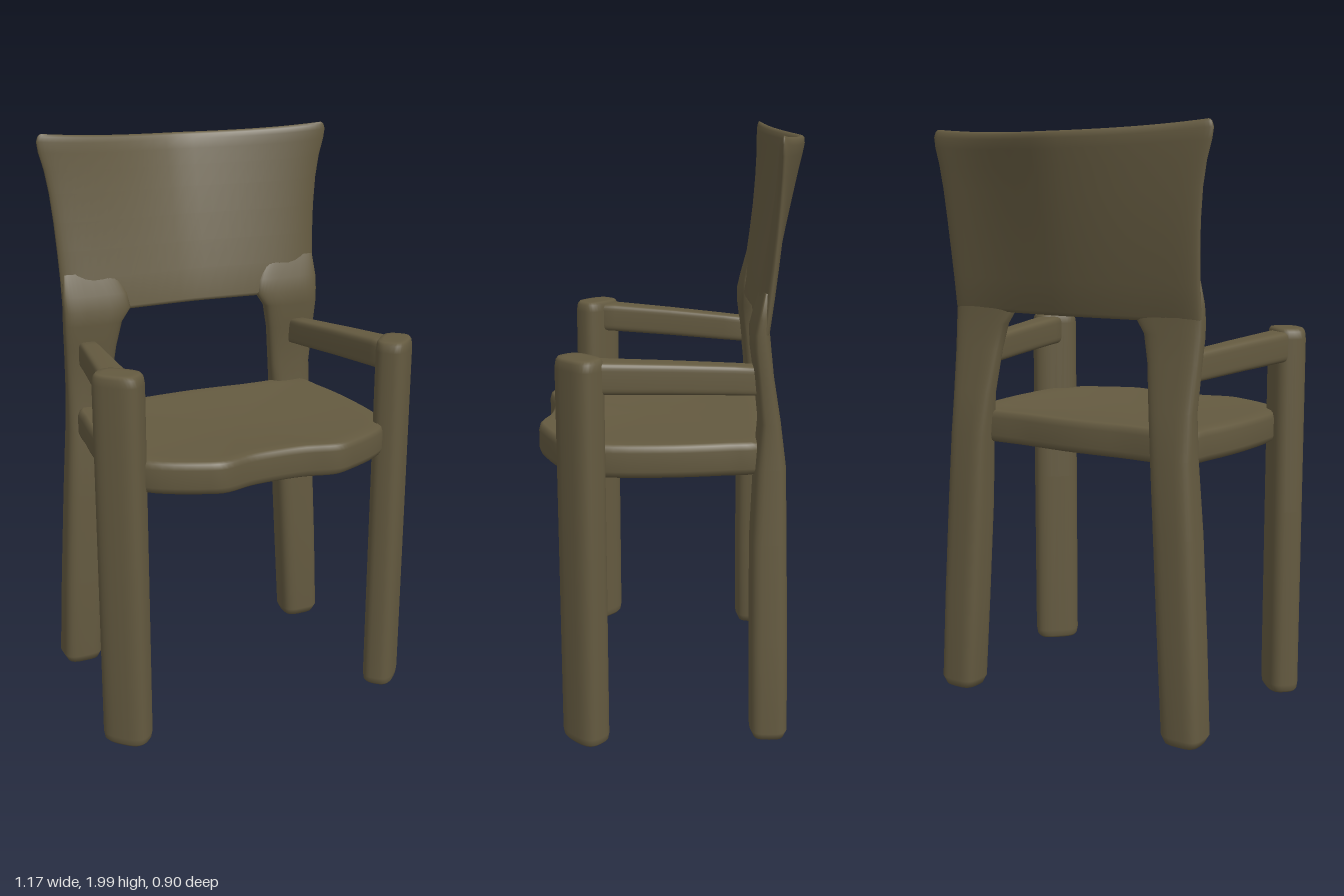
import * as THREE from 'three';

const olive = new THREE.MeshStandardMaterial({ color: 0x645a40 });
olive.name = 'olive';

// Smooth skin over closed rings of equal length; ends closed by fans unless capped is false
function loft(rings, capped = true) {
  const n = rings[0].length;
  const pos = [], idx = [];
  rings.forEach(r => r.forEach(p => pos.push(p.x, p.y, p.z)));
  for (let i = 0; i < rings.length - 1; i++) {
    for (let j = 0; j < n; j++) {
      const a = i * n + j, b = i * n + (j + 1) % n;
      idx.push(a, a + n, b, b, a + n, b + n);
    }
  }
  if (capped) {
    [0, rings.length - 1].forEach(k => {
      const c = rings[k].reduce((s, p) => s.add(p), new THREE.Vector3()).divideScalar(n);
      const ci = pos.length / 3;
      pos.push(c.x, c.y, c.z);
      for (let j = 0; j < n; j++) {
        const a = k * n + j, b = k * n + (j + 1) % n;
        if (k === 0) idx.push(ci, a, b); else idx.push(ci, b, a);
      }
    });
  }
  // Signed volume tells whether the faces point outward
  let vol = 0;
  const v = i => new THREE.Vector3().fromArray(pos, i * 3);
  for (let i = 0; i < idx.length; i += 3) vol += v(idx[i]).dot(v(idx[i + 1]).cross(v(idx[i + 2])));
  if (vol < 0) idx.reverse();
  const g = new THREE.BufferGeometry();
  g.setAttribute('position', new THREE.Float32BufferAttribute(pos, 3));
  g.setIndex(idx);
  g.computeVertexNormals();
  return g;
}

// Rounded-rectangle ring; place(a, b) maps its two axes into space
function ring(a, b, place, e = 0.5, n = 32) {
  return Array.from({ length: n }, (_, i) => {
    const t = (i / n) * Math.PI * 2, c = Math.cos(t), s = Math.sin(t);
    return place(a * Math.sign(c) * Math.abs(c) ** e, b * Math.sign(s) * Math.abs(s) ** e);
  });
}

const V = (x, y, z) => new THREE.Vector3(x, y, z);

// Front post: stadium section turned 45 degrees, softened ends
function frontLeg(s) {
  const q = Math.SQRT1_2;
  const rows = [[0.01, 0.6], [0.01, 0.85], [0.018, 0.95], [0.04, 1], [0.68, 1], [1.29, 1], [1.315, 0.95], [1.325, 0.85], [1.326, 0.6]];
  return loft(rows.map(([y, k]) => ring(0.083 * k, 0.057 * k,
    (a, b) => V(s * (0.505 + (a + b) * q), y, 0.288 + (b - a) * q), 0.68)));
}

// Rear post: sways back and flattens into the backrest
function backLeg(s) {
  const rows = [
    [0.01, 0.43, 0.51, -0.36, -0.295], [0.012, 0.41, 0.53, -0.38, -0.275], [0.04, 0.397, 0.545, -0.39, -0.263],
    [0.35, 0.377, 0.53, -0.385, -0.258], [0.7, 0.355, 0.51, -0.377, -0.256], [0.95, 0.34, 0.493, -0.37, -0.266],
    [1.1, 0.325, 0.49, -0.35, -0.278], [1.25, 0.305, 0.496, -0.325, -0.262], [1.34, 0.285, 0.5, -0.315, -0.25],
    [1.39, 0.25, 0.5, -0.31, -0.25], [1.44, 0.26, 0.5, -0.306, -0.262], [1.52, 0.3, 0.49, -0.3, -0.285]];
  return loft(rows.map(([y, x0, x1, z0, z1]) => ring((x1 - x0) / 2, (z1 - z0) / 2,
    (a, b) => V(s * ((x0 + x1) / 2 + a), y, (z0 + z1) / 2 + b), 0.6)));
}

// Arm: tapers and slopes down toward the rear post
function arm(s) {
  const rows = [[0.3, 0.505, 1.265, 0.05, 0.053], [0.22, 0.498, 1.262, 0.05, 0.053],
    [0, 0.462, 1.25, 0.042, 0.051], [-0.2, 0.428, 1.237, 0.036, 0.049], [-0.3, 0.413, 1.23, 0.034, 0.047]];
  return loft(rows.map(([z, x, y, w, h]) => ring(w, h, (a, b) => V(s * (x + a), y + b, z), 0.4)));
}

// Seat: wavy-fronted slab with rounded rim and a shallow dish
function seat() {
  const half = [[0.1, 0.425], [0.21, 0.45], [0.28, 0.43], [0.43, 0.35], [0.485, 0.27], [0.5, 0.05],
    [0.476, -0.18], [0.45, -0.29], [0.2, -0.31]];
  const pts = [[0, 0.42], ...half, [0, -0.32], ...half.slice().reverse().map(([x, z]) => [-x, z])];
  const outline = new THREE.CatmullRomCurve3(pts.map(([x, z]) => V(x, 0, z)), true).getPoints(96).slice(0, -1);
  const rows = [[0.3, 0.922], [0.7, 0.922], [0.96, 0.923], [0.985, 0.93], [1, 0.948],
    [1, 1.01], [0.988, 1.028], [0.965, 1.035], [0.85, 1.032], [0.6, 1.024], [0.3, 1.018]];
  return loft(rows.map(([k, y]) => outline.map(p => V(p.x * k, y, 0.05 + (p.z - 0.05) * k))));
}

// Backrest: thin curved panel, flared at the top corners, hollowed toward the rear
function backrest() {
  const rows = [[1.38, 0.49, 0], [1.383, 0.493, 0.015], [1.395, 0.497, 0.024], [1.5, 0.498, 0.024], [1.6, 0.502, 0.023],
    [1.7, 0.508, 0.022], [1.8, 0.518, 0.021], [1.88, 0.532, 0.02], [1.94, 0.549, 0.02], [1.975, 0.554, 0.019],
    [1.992, 0.548, 0.014], [1.999, 0.54, 0.007], [2, 0.535, 0]];
  const n = 64;
  return loft(rows.map(([y, w, h]) => {
    const t = (y - 1.38) / 0.62;
    const zc = -0.3 - 0.134 * t;
    const ze = -0.272 - 0.058 * Math.sin(t * Math.PI / 2);
    return Array.from({ length: n }, (_, i) => {
      const a = (i / n) * Math.PI * 2, u = Math.cos(a), m = Math.abs(u);
      const f = 0.5 * m + 0.25 * (1 - Math.cos(Math.PI * m)) - 0.12 * (1 - m) ** 4 * m;
      const z = zc + (ze - zc) * f - 0.02 * (1 - t) * m ** 4;
      const thick = h * Math.sqrt(Math.max(0, 1 - m ** 10)) * Math.sign(Math.sin(a));
      return V(u * w, y - 0.025 * t * t * (1 - m * m), z + thick);
    });
  }), false);
}

export function createModel() {
  const chair = new THREE.Group();
  chair.name = 'chair';
  const add = (name, geometry) => {
    const mesh = new THREE.Mesh(geometry, olive);
    mesh.name = name;
    chair.add(mesh);
  };
  add('seat', seat());
  add('backrest', backrest());
  [['left', 1], ['right', -1]].forEach(([side, s]) => {
    add(side + 'FrontLeg', frontLeg(s));
    add(side + 'BackLeg', backLeg(s));
    add(side + 'Armrest', arm(s));
  });
  return chair;
}
